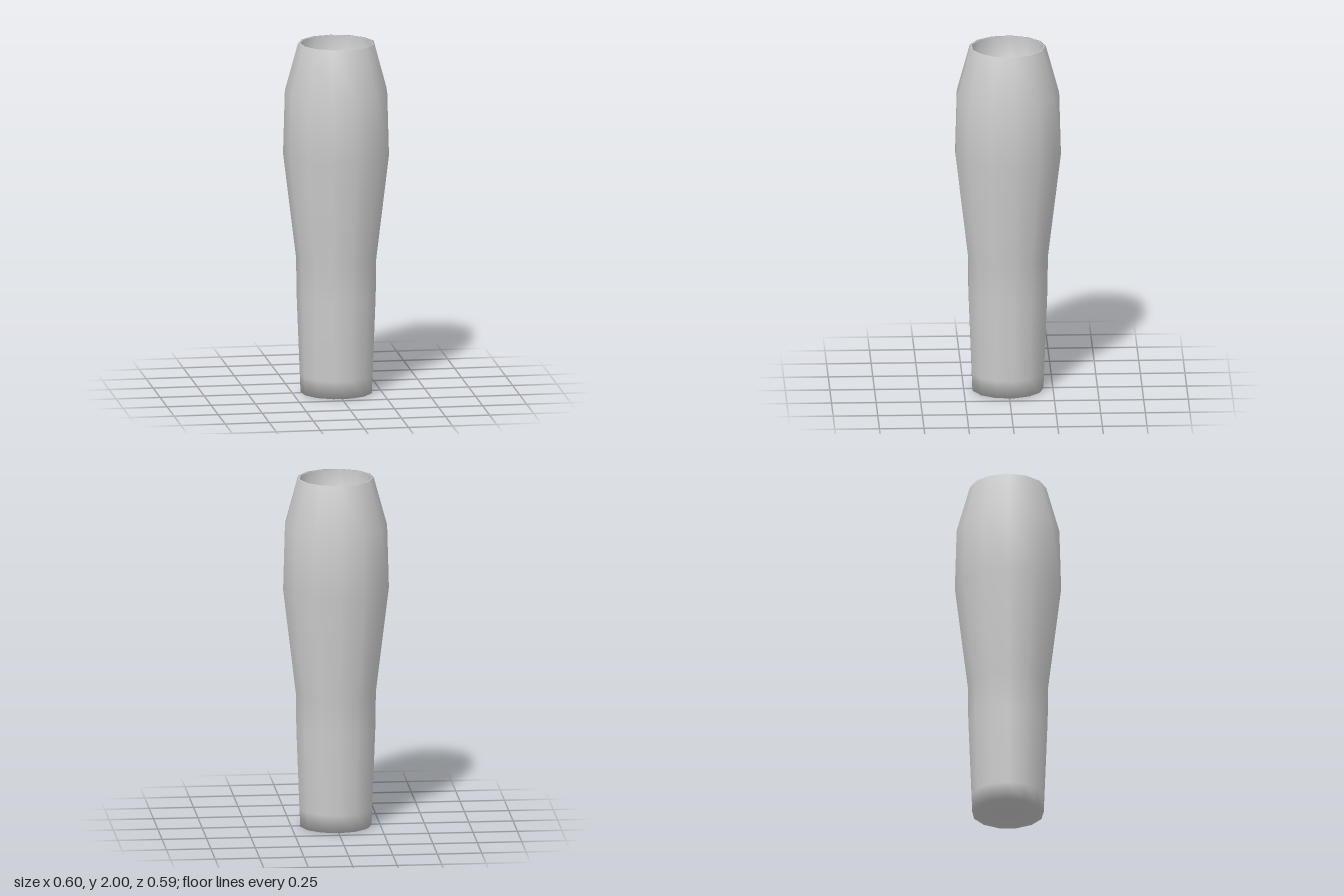
import * as THREE from 'three';

const SIDES = 13;
const CENTRE_Z = 0.0044; // odd side count: shift so the bounds are centred

// Spin a [radius, height] profile, with one corner pointing to the back
function spin(name, profile, material) {
  const points = profile.map(([r, y]) => new THREE.Vector2(r, y));
  const mesh = new THREE.Mesh(new THREE.LatheGeometry(points, SIDES, Math.PI), material);
  mesh.name = name;
  mesh.position.z = CENTRE_Z;
  return mesh;
}

export function createModel() {
  const model = new THREE.Group();
  model.name = 'vase';
  const material = new THREE.MeshStandardMaterial({ color: 0xcccccc });

  // Base, swelling body and flat rim
  model.add(spin('body', [
    [0, 0], [0.202, 0], [0.206, 0.1], [0.224, 0.56], [0.227, 0.77],
    [0.3, 1.37], [0.29, 1.73], [0.216, 2], [0.203, 2],
  ], material));

  // Recess: wall going down from the rim to the floor
  model.add(spin('recess', [[0.203, 2], [0.198, 1.75], [0, 1.75]], material));

  return model;
}
